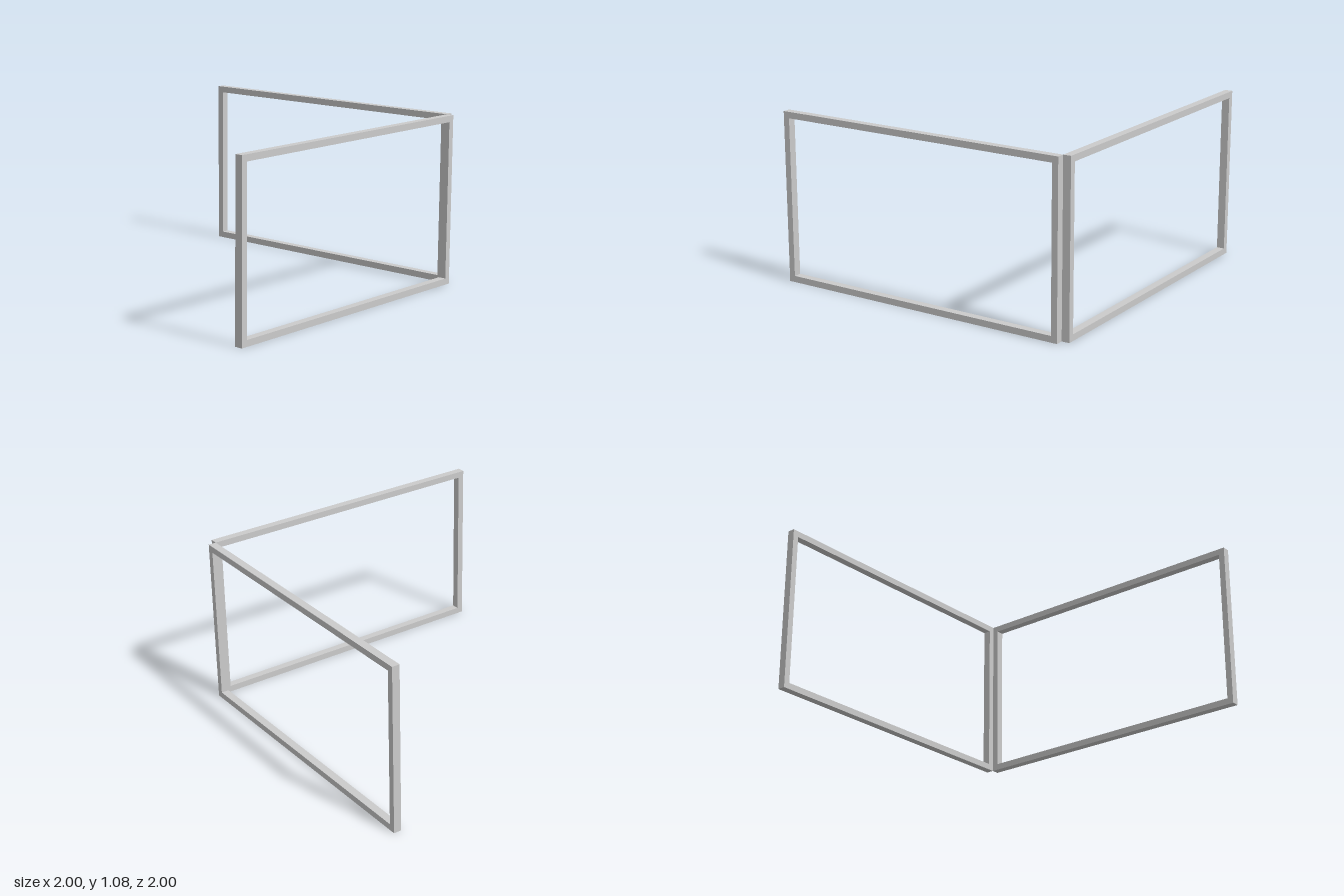
import * as THREE from 'three';

const LENGTH = 1.95, HEIGHT = 1.08, DEPTH = 0.05, RAIL = 0.04;

// Rectangular frame, centred on x and z, standing on y = 0
function frameGeometry() {
  const half = LENGTH / 2;
  const shape = new THREE.Shape([
    new THREE.Vector2(-half, 0), new THREE.Vector2(half, 0),
    new THREE.Vector2(half, HEIGHT), new THREE.Vector2(-half, HEIGHT),
  ]);
  const x = half - RAIL, top = HEIGHT - RAIL;
  shape.holes.push(new THREE.Path([
    new THREE.Vector2(-x, RAIL), new THREE.Vector2(-x, top),
    new THREE.Vector2(x, top), new THREE.Vector2(x, RAIL),
  ]));
  return new THREE.ExtrudeGeometry(shape, { depth: DEPTH, bevelEnabled: false })
    .translate(0, 0, -DEPTH / 2);
}

export function createModel() {
  const group = new THREE.Group();
  group.name = 'cornerFrames';
  const material = new THREE.MeshStandardMaterial({ color: 0xcccccc });
  const geometry = frameGeometry();
  const near = 1 - DEPTH / 2, shift = -DEPTH / 2;

  // Frame along the front edge
  const front = new THREE.Mesh(geometry, material);
  front.name = 'frontFrame';
  front.position.set(shift, 0, near);

  // Frame along the left edge, meeting the first at the corner
  const side = new THREE.Mesh(geometry, material);
  side.name = 'leftFrame';
  side.rotation.y = Math.PI / 2;
  side.position.set(near, 0, shift);

  group.add(front, side);
  return group;
}
